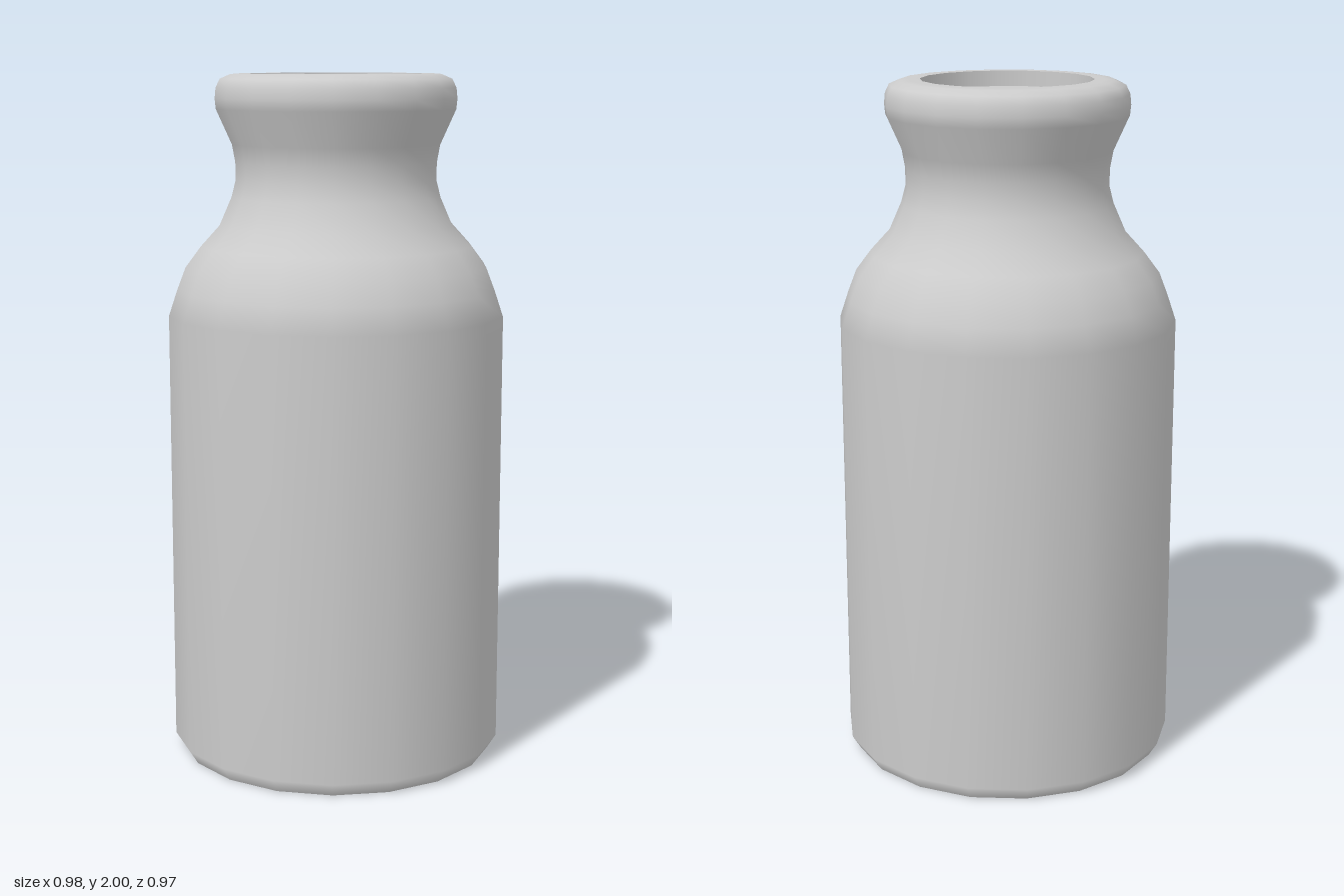
import * as THREE from 'three';

const SIDES = 18;

export function createModel() {
  const group = new THREE.Group();
  group.name = 'bottle';
  const material = new THREE.MeshStandardMaterial({ color: 0xcccccc });

  const add = (name, geometry) => {
    const mesh = new THREE.Mesh(geometry, material);
    mesh.name = name;
    group.add(mesh);
    return mesh;
  };
  // Profiles are [radius, height] pairs; a corner of the polygon points along +x
  const lathe = (profile) => new THREE.LatheGeometry(
    profile.map(([r, y]) => new THREE.Vector2(r, y)), SIDES, Math.PI / 2);
  const disc = (name, radius, y, facing) => {
    const mesh = add(name, new THREE.CircleGeometry(radius, SIDES));
    mesh.rotation.x = -facing * Math.PI / 2;
    mesh.position.y = y;
  };

  // Body, shoulder, neck and rolled lip
  add('body', lathe([
    [0.465, 0], [0.49, 0.04], [0.49, 1.31],
    [0.465, 1.385], [0.44, 1.45], [0.395, 1.51], [0.34, 1.57],
    [0.305, 1.65], [0.292, 1.7], [0.293, 1.75], [0.302, 1.8],
    [0.347, 1.9], [0.35, 1.93], [0.347, 1.96], [0.335, 1.985], [0.305, 1.998],
    [0.28, 2], [0.247, 2],
  ]));

  // Shallow recess in the mouth
  add('mouthWall', lathe([[0.247, 2], [0.247, 1.955]]));
  disc('mouthFloor', 0.247, 1.955, 1);

  // Flat underside
  disc('base', 0.465, 0, -1);

  return group;
}
